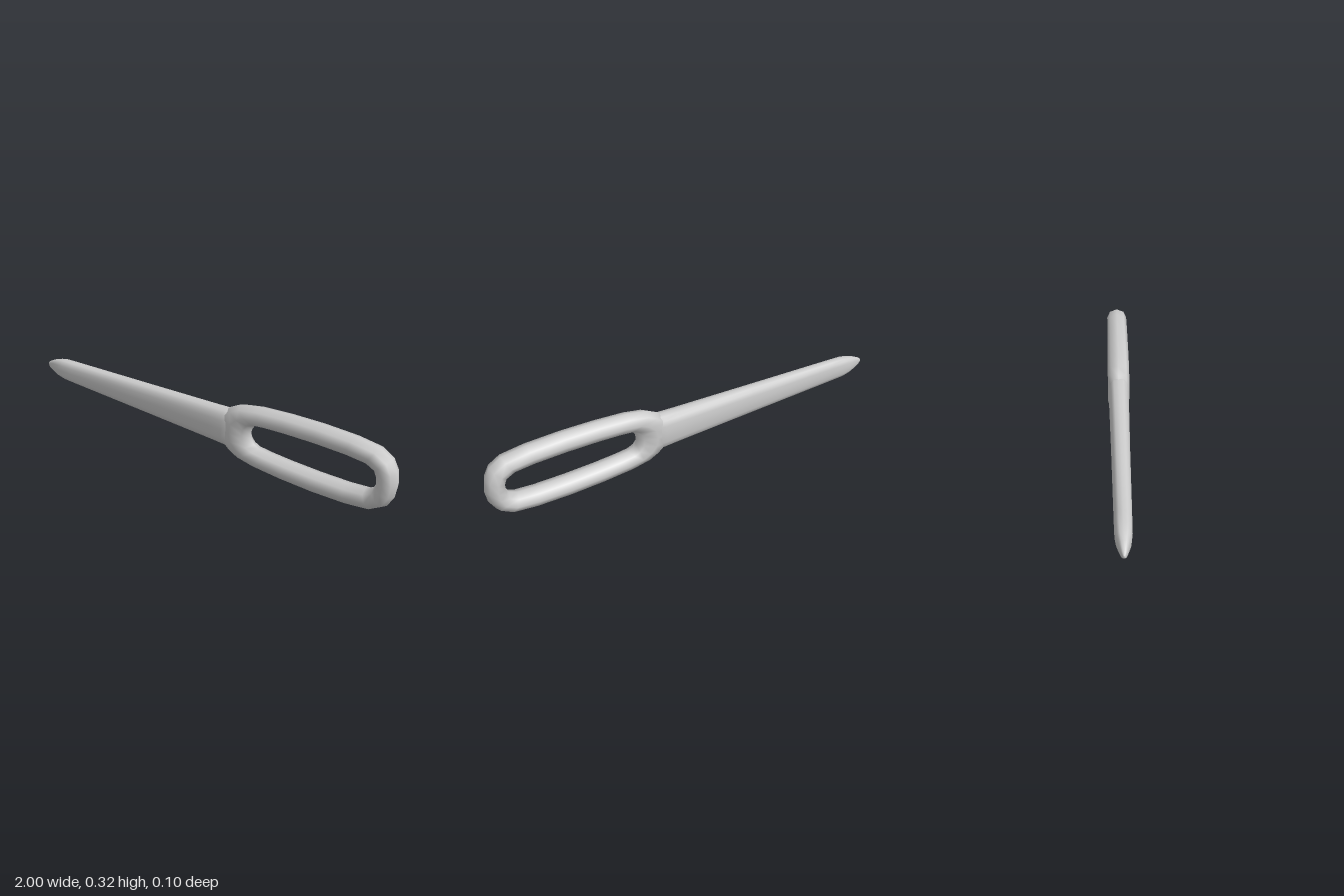
import * as THREE from 'three';

const MID = 0.16; // height of the symmetry axis
const material = new THREE.MeshStandardMaterial({ color: 0xcccccc });

// Lofts cross-sections { c: centre, u: in-plane half axis, w: half depth in z }.
// power < 1 makes the section boxier than an ellipse.
function loft(sections, sides, power, closed) {
  const pos = [], index = [], n = sections.length;
  const soft = (v) => Math.sign(v) * Math.abs(v) ** power;
  for (const { c, u, w } of sections) {
    for (let j = 0; j < sides; j++) {
      const a = (j / sides) * Math.PI * 2;
      const k = soft(Math.cos(a));
      pos.push(c[0] + u[0] * k, c[1] + u[1] * k, w * soft(Math.sin(a)));
    }
  }
  for (let i = 0; i < (closed ? n : n - 1); i++) {
    const r = i * sides, s = ((i + 1) % n) * sides;
    for (let j = 0; j < sides; j++) {
      const k = (j + 1) % sides;
      index.push(r + j, r + k, s + j, r + k, s + k, s + j);
    }
  }
  if (!closed) {
    const e = (n - 1) * sides;
    for (let j = 1; j < sides - 1; j++) {
      index.push(0, j + 1, j, e, e + j, e + j + 1);
    }
  }
  const geo = new THREE.BufferGeometry();
  geo.setAttribute('position', new THREE.Float32BufferAttribute(pos, 3));
  geo.setIndex(index);
  geo.computeVertexNormals();
  return geo;
}

function part(name, geometry) {
  const mesh = new THREE.Mesh(geometry, material);
  mesh.name = name;
  return mesh;
}

export function createModel() {
  const group = new THREE.Group();
  group.name = 'loopHandledBlade';

  // Blade: x, half height, half depth
  const blade = [
    [-1, 0.006, 0.004], [-0.985, 0.018, 0.012], [-0.95, 0.034, 0.021],
    [-0.91, 0.046, 0.03], [-0.87, 0.053, 0.034], [-0.8, 0.056, 0.035],
    [-0.3, 0.072, 0.041], [0.1, 0.085, 0.047], [0.17, 0.088, 0.049],
    [0.21, 0.09, 0.046], [0.25, 0.07, 0.03],
  ].map(([x, h, w]) => ({ c: [x, MID], u: [0, h], w }));
  group.add(part('blade', loft(blade, 16, 0.75, false)));

  // Loop handle, upper half from the neck to the end:
  // outer x, outer y offset, inner x, inner y offset
  const upper = [
    [0.13, 0, 0.303, 0], [0.14, 0.058, 0.307, 0.025], [0.19, 0.1, 0.32, 0.046],
    [0.24, 0.126, 0.345, 0.057], [0.33, 0.144, 0.4, 0.062], [0.48, 0.155, 0.5, 0.067],
    [0.64, 0.159, 0.64, 0.07], [0.8, 0.154, 0.78, 0.068], [0.91, 0.139, 0.865, 0.061],
    [0.965, 0.105, 0.9, 0.044], [0.992, 0.055, 0.91, 0.02], [1, 0, 0.912, 0],
  ];
  const lower = upper.slice(1, -1).reverse().map(([a, b, c, d]) => [a, -b, c, -d]);
  const ring = [...upper, ...lower].map(([ox, oy, ix, iy]) => ({
    c: [(ox + ix) / 2, MID + (oy + iy) / 2],
    u: [(ox - ix) / 2, (oy - iy) / 2],
    w: 0.052,
  }));
  group.add(part('loopHandle', loft(ring, 8, 1, true)));

  return group;
}
